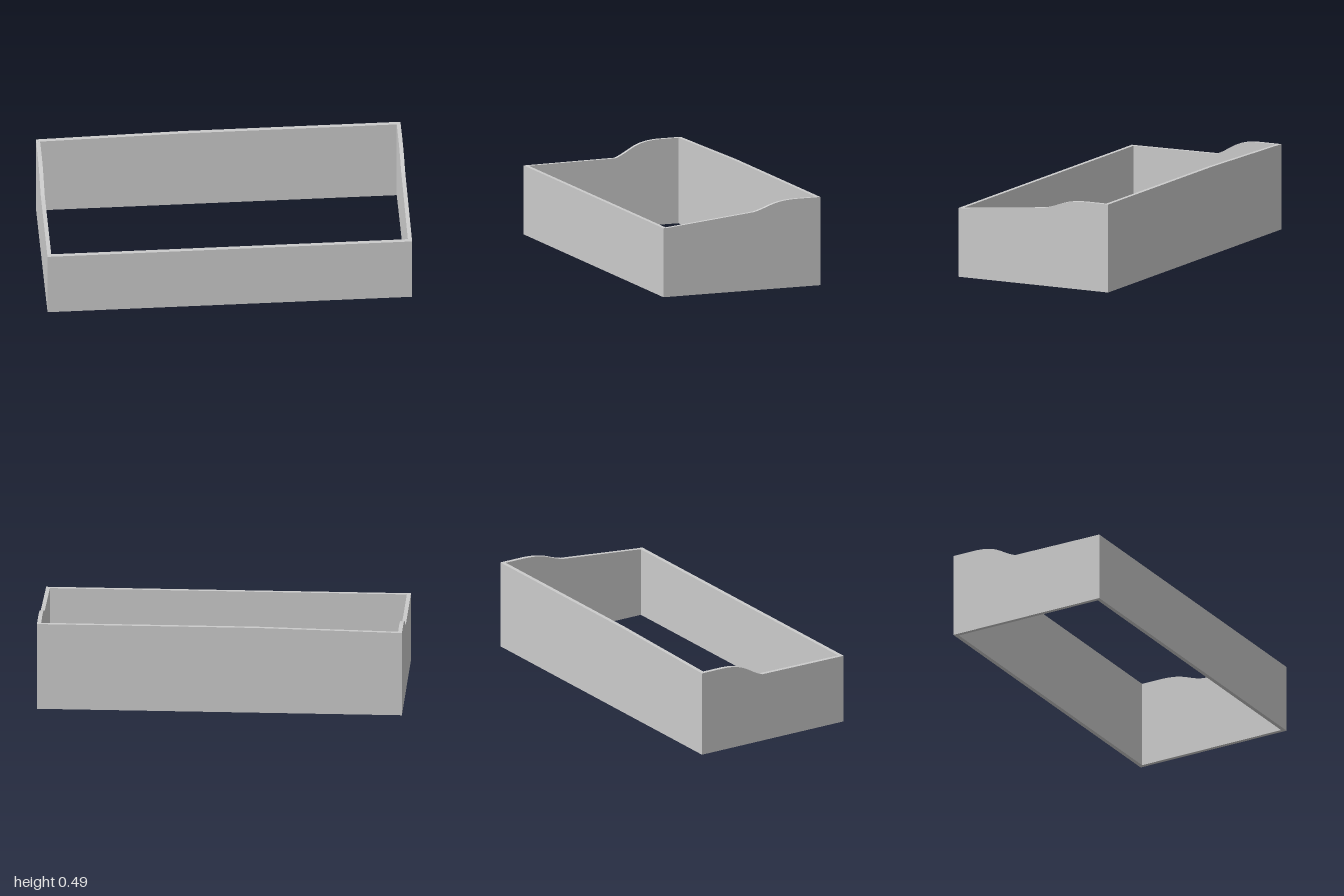
import * as THREE from 'three';

const W = 1, D = 0.465, T = 0.022; // half width, half depth, board thickness
const material = new THREE.MeshStandardMaterial({ color: 0xcccccc });

// Board outline: flat bottom, straight or curved top edge
function boardGeometry(topPoints, curveSegments = 24) {
  const first = topPoints[0], last = topPoints[topPoints.length - 1];
  const shape = new THREE.Shape();
  shape.moveTo(last[0], 0);
  shape.lineTo(first[0], 0);
  topPoints.forEach(([a, y]) => shape.lineTo(a, y));
  shape.closePath();
  return new THREE.ExtrudeGeometry(shape, { depth: T, bevelEnabled: false, curveSegments });
}

// Side top edge: straight run from the front, S-curve up to the back
function sideTop(kneeHeight, backHeight) {
  const inner = D - T, front = 0.384, rise = backHeight - kneeHeight;
  const sCurve = new THREE.CubicBezierCurve(
    new THREE.Vector2(-0.07, kneeHeight),
    new THREE.Vector2(-0.165, kneeHeight + rise * 0.38),
    new THREE.Vector2(-0.18, kneeHeight + rise),
    new THREE.Vector2(-0.34, backHeight)
  );
  const bend = sCurve.getPoints(24).map((p) => [p.x, p.y]);
  return [[inner, front], ...bend, [-inner, backHeight]].reverse();
}

export function createModel() {
  const group = new THREE.Group();
  const add = (name, geometry) => {
    const mesh = new THREE.Mesh(geometry, material);
    mesh.name = name;
    group.add(mesh);
  };

  // Front and back boards span the full width
  add('frontBoard', boardGeometry([[-W, 0.384], [W, 0.384]]).translate(0, 0, D - T));
  // The back board drops slightly towards the right end
  add('backBoard', boardGeometry([[-W, 0.476], [-0.2, 0.491], [W, 0.491]]).translate(0, 0, -D));

  // Side boards fit between them; the right one has a lower run
  add('leftBoard', boardGeometry(sideTop(0.435, 0.491)).rotateY(-Math.PI / 2).translate(W, 0, 0));
  add('rightBoard', boardGeometry(sideTop(0.388, 0.476)).rotateY(-Math.PI / 2).translate(-W + T, 0, 0));

  return group;
}
